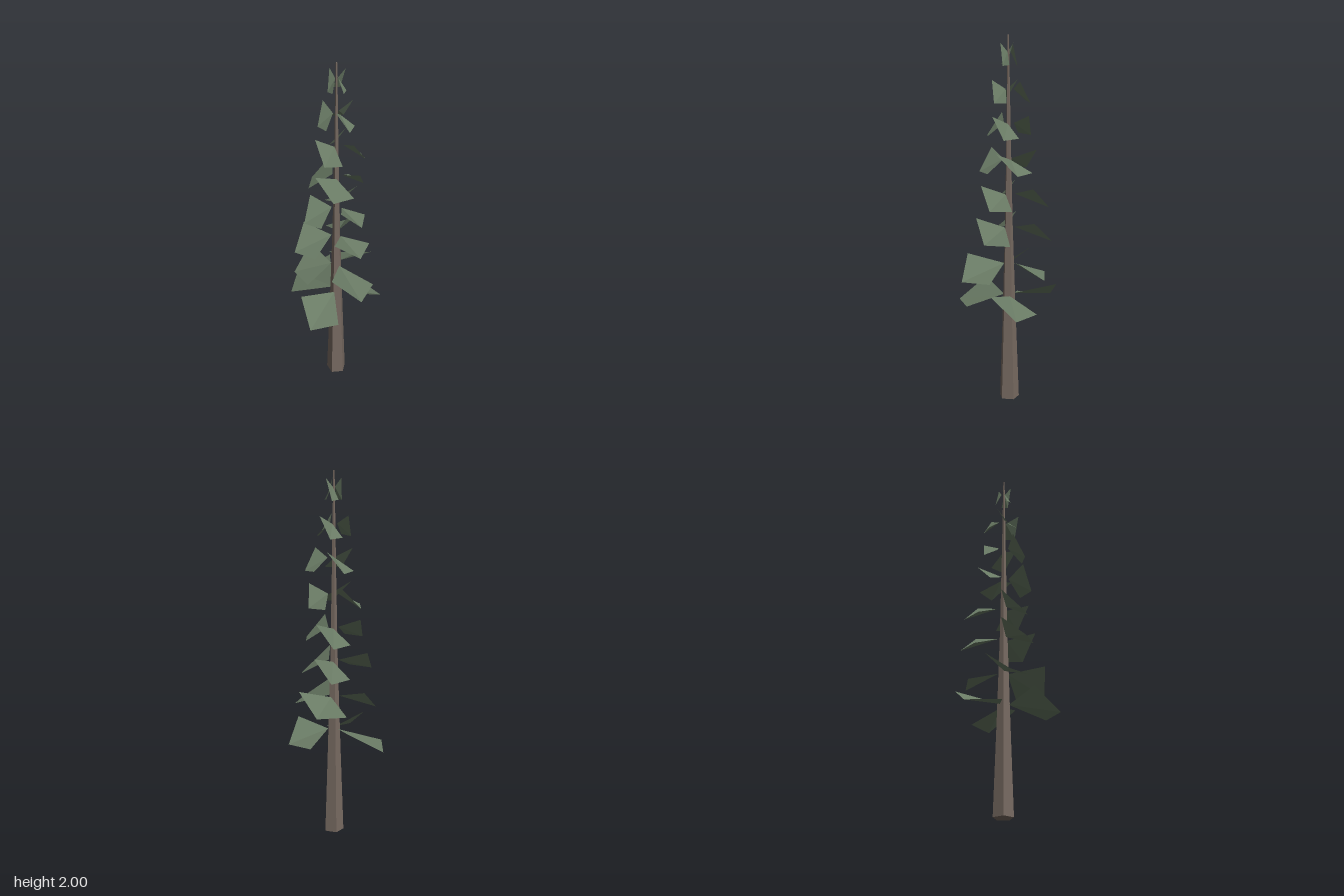
import * as THREE from 'three';

const DEG = Math.PI / 180;
const bark = new THREE.MeshStandardMaterial({ color: 0x776a61, flatShading: true });
const needle = new THREE.MeshStandardMaterial({ color: 0x697a64, flatShading: true, side: THREE.DoubleSide });

// Each tier: height of the branch roots, then [heading in degrees, length, half width] per branch
const TIERS = [
  [0.60, [[26, 0.255, 0.125], [151, 0.31, 0.116], [260, 0.335, 0.152]]],
  [0.785, [[96, 0.287, 0.127], [216, 0.236, 0.12], [336, 0.22, 0.14]]],
  [0.985, [[80, 0.185, 0.13], [195, 0.24, 0.1], [315, 0.235, 0.095]]],
  [1.168, [[72, 0.168, 0.103], [193, 0.185, 0.085], [312, 0.215, 0.09]]],
  [1.355, [[17, 0.145, 0.1], [130, 0.158, 0.1], [250, 0.166, 0.105]]],
  [1.545, [[45, 0.15, 0.07], [153, 0.13, 0.08], [285, 0.125, 0.08]]],
  [1.725, [[85, 0.1, 0.06], [205, 0.1, 0.06], [320, 0.115, 0.06]]],
  [1.915, [[80, 0.045, 0.033], [200, 0.05, 0.033], [320, 0.045, 0.033]]],
];

// A drooping, twisted kite folded along its middle; local x points outward
function branch(heading, length, halfWidth) {
  const root = [Math.min(0.03, length * 0.22), 0, 0];
  const high = [length * 0.65, 0.045, halfWidth];
  const tip = [length, -0.07, 0];
  const low = [length * 0.65, -0.065, -halfWidth];
  const geometry = new THREE.BufferGeometry();
  geometry.setAttribute('position', new THREE.Float32BufferAttribute(
    [root, high, tip, root, tip, low].flat(), 3));
  geometry.computeVertexNormals();
  const mesh = new THREE.Mesh(geometry, needle);
  mesh.rotation.y = -heading * DEG;
  mesh.name = 'branch';
  return mesh;
}

export function createModel() {
  const tree = new THREE.Group();
  tree.name = 'tree';

  // Five-sided tapering trunk with a closed base and a very slight lean
  const profile = [[0, 0], [0.056, 0], [0.038, 0.5], [0.022, 1], [0.012, 1.5], [0.004, 2], [0, 2]]
    .map(([r, y]) => new THREE.Vector2(r, y));
  const trunk = new THREE.Mesh(new THREE.LatheGeometry(profile, 5, 10 * DEG), bark);
  trunk.name = 'trunk';
  trunk.position.set(0.02, 0, 0.02);
  trunk.rotation.z = 0.003;
  tree.add(trunk);

  // Eight tiers of three branches
  TIERS.forEach(([y, branches], i) => {
    const tier = new THREE.Group();
    tier.name = `branchTier${i + 1}`;
    tier.position.set(0.02, y, 0.02);
    branches.forEach((b) => tier.add(branch(...b)));
    tree.add(tier);
  });
  return tree;
}
